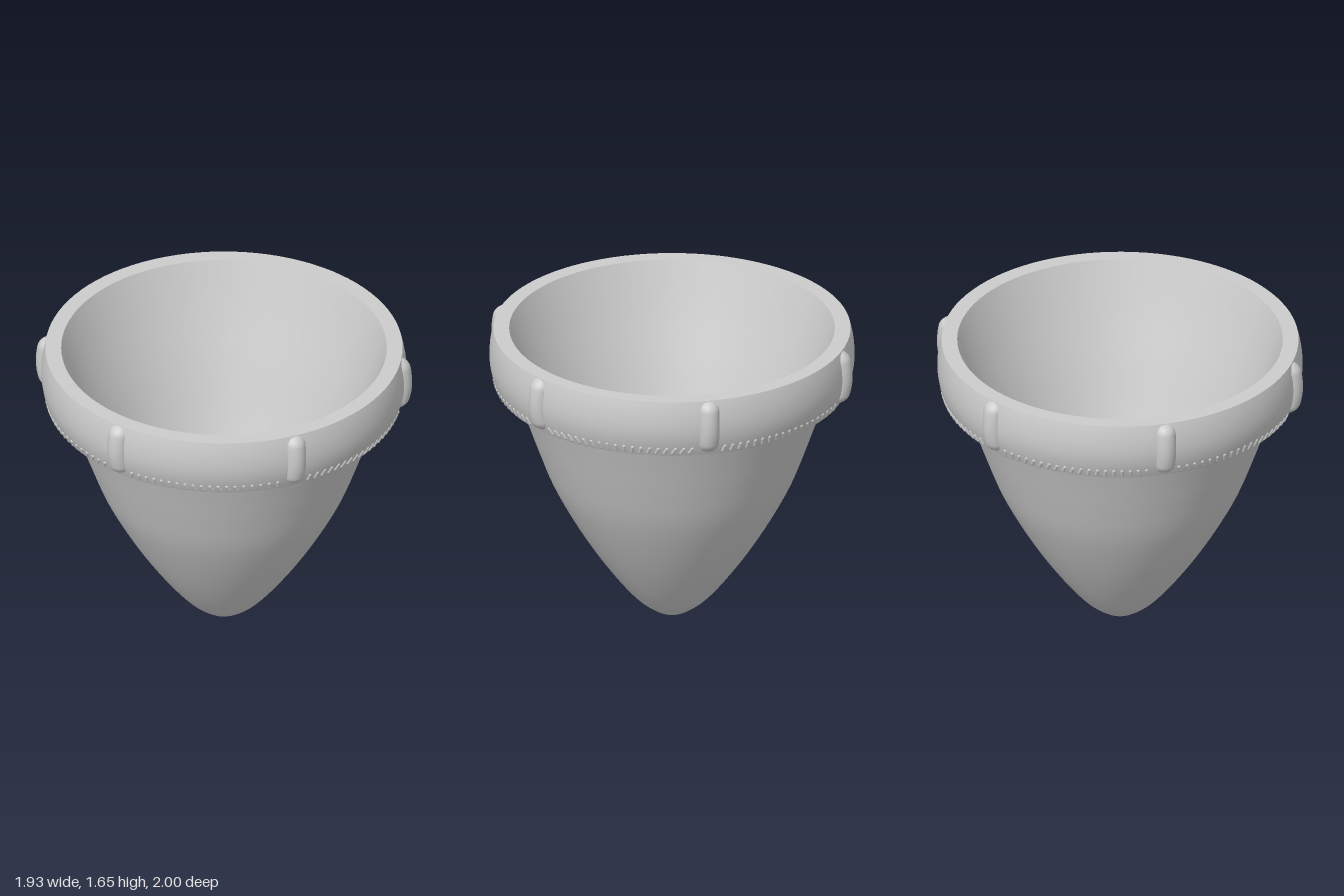
import * as THREE from 'three';
import { mergeGeometries } from 'three/addons/utils/BufferGeometryUtils.js';

const RIM_Y = 1.65, BAND_Y = 1.33, SEGMENTS = 96;

// Bulging outer radius of the band at height y
const bandRadius = (y) => 0.965 - (y > 1.5 ? 0.95 : 1.45) * (y - 1.5) ** 2;

export function createModel() {
  const group = new THREE.Group();
  const material = new THREE.MeshStandardMaterial({ color: 0xcccccc });

  const add = (name, geometry) => {
    const mesh = new THREE.Mesh(geometry, material);
    mesh.name = name;
    group.add(mesh);
  };
  const toPoints = (list) => list.map(([r, y]) => new THREE.Vector2(r, y));
  const smooth = (list, n) => new THREE.SplineCurve(toPoints(list)).getPoints(n)
    .map((p) => new THREE.Vector2(Math.max(p.x, 0), p.y));
  const lathe = (name, points) => add(name, new THREE.LatheGeometry(points, SEGMENTS));

  // Pointed bowl, outside, running up behind the band
  lathe('bowlOuter', smooth([
    [0, 0], [0.06, 0.008], [0.12, 0.042], [0.2, 0.11], [0.3, 0.23], [0.42, 0.4],
    [0.535, 0.59], [0.638, 0.79], [0.718, 1], [0.774, 1.16], [0.835, BAND_Y],
    [0.885, 1.47], [0.93, 1.6],
  ], 48));

  // Hollow inside: straight wall, then a shallower floor coming to a point
  lathe('bowlInner', smooth([
    [0.86, RIM_Y], [0.77, 1.4], [0.67, 1.14], [0.57, 0.87], [0.49, 0.67],
    [0.41, 0.52], [0.29, 0.38], [0.15, 0.26], [0, 0.16],
  ], 40));

  // Band around the mouth, standing off the bowl at its lower edge
  const bandProfile = [];
  for (let i = 0; i <= 14; i++) {
    const y = BAND_Y + ((RIM_Y - BAND_Y) * i) / 14;
    bandProfile.push(new THREE.Vector2(bandRadius(y), y));
  }
  lathe('band', bandProfile);
  lathe('bandLip', toPoints([[0.9, BAND_Y], [bandRadius(BAND_Y), BAND_Y]]));
  lathe('bandInner', toPoints([[0.91, 1.54], [0.9, BAND_Y]]));
  lathe('rim', toPoints([[bandRadius(RIM_Y), RIM_Y], [0.86, RIM_Y]]));

  // Six rounded ribs bent to follow the band and sunk into it
  const ribShape = new THREE.CapsuleGeometry(0.056, 0.192, 8, 20, 8);
  ribShape.translate(0, 1.497, 0);
  const pos = ribShape.attributes.position;
  for (let i = 0; i < pos.count; i++) {
    pos.setZ(i, pos.getZ(i) + bandRadius(pos.getY(i)) - 0.021);
  }
  ribShape.computeVertexNormals();
  for (let i = 0; i < 6; i++) {
    add(`rib${i + 1}`, ribShape.clone().rotateY((i * Math.PI) / 3 + 0.008));
  }

  // Fine slanted notching along the lower edge, interrupted by the ribs
  const teeth = [];
  const perSector = 22, y = 1.364;
  for (let i = 0; i < 6 * perSector; i++) {
    const k = i % perSector;
    if (k < 2 || k > perSector - 2) continue;
    const angle = (i / (6 * perSector)) * Math.PI * 2;
    const tooth = new THREE.CapsuleGeometry(0.011, 0.032, 3, 8);
    tooth.rotateZ(-0.5 * Math.sin(4 * angle)).rotateX(0.35);
    tooth.translate(0, y, bandRadius(y) - 0.004).rotateY(angle);
    teeth.push(tooth);
  }
  add('edgeNotching', mergeGeometries(teeth));

  return group;
}
